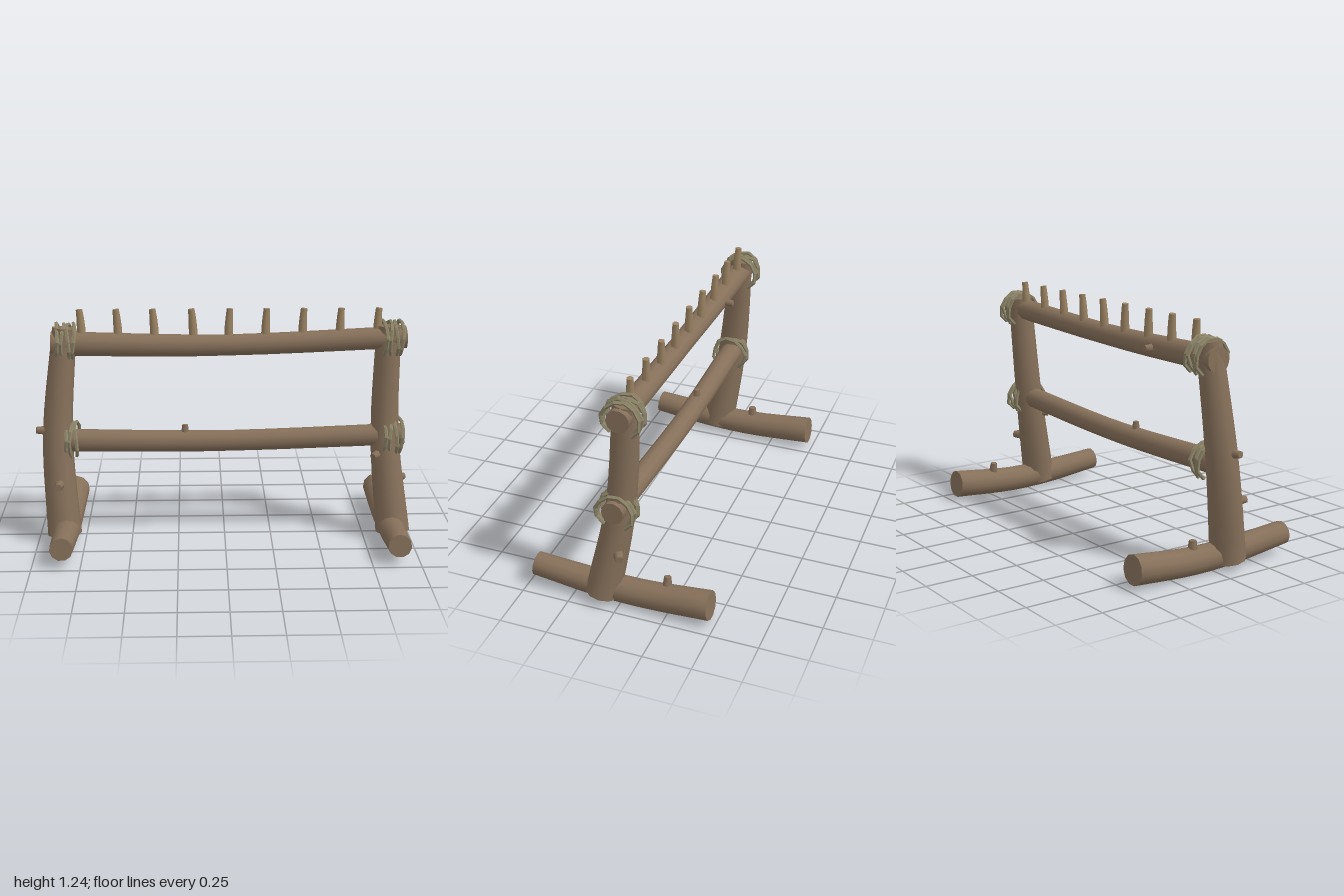
import * as THREE from 'three';
import { toCreasedNormals } from 'three/addons/utils/BufferGeometryUtils.js';

const wood = new THREE.MeshStandardMaterial({ color: 0x86705a });
const paleWood = new THREE.MeshStandardMaterial({ color: 0x9a8262 });
const rope = new THREE.MeshStandardMaterial({ color: 0x8c8468, flatShading: true, side: THREE.DoubleSide });

const V = (p) => new THREE.Vector3(...p);

// A capped round log swept along a curve; radii are spread evenly over its length
function log(name, points, radii, sides = 11, steps = 10, material = wood) {
  const curve = new THREE.CatmullRomCurve3(points.map(V));
  const geo = new THREE.CylinderGeometry(1, 1, 1, sides, steps);
  const pos = geo.attributes.position;
  const up = new THREE.Vector3(0, 1, 0);
  const q = new THREE.Quaternion();
  const v = new THREE.Vector3();
  for (let i = 0; i < pos.count; i++) {
    const t = THREE.MathUtils.clamp(pos.getY(i) + 0.5, 0, 1);
    const s = t * (radii.length - 1);
    const k = Math.min(Math.floor(s), radii.length - 2);
    const r = THREE.MathUtils.lerp(radii[k], radii[k + 1], s - k);
    q.setFromUnitVectors(up, curve.getTangentAt(t));
    v.set(pos.getX(i) * r, 0, pos.getZ(i) * r).applyQuaternion(q).add(curve.getPointAt(t));
    pos.setXYZ(i, v.x, v.y, v.z);
  }
  const mesh = new THREE.Mesh(toCreasedNormals(geo, 0.9), material);
  mesh.name = name;
  return mesh;
}

// Cut-off twig stub from inside a log to its tip
function stub(name, from, to, r) {
  const mid = V(from).lerp(V(to), 0.8).toArray();
  return log(name, [from, mid, to], [r * 1.1, r, r * 0.75], 7, 4);
}

// Open rope loops around a rail, hanging over both sides of the post
function lashing(name, x0, x1, y, z, count) {
  const group = new THREE.Group();
  group.name = name;
  for (let i = 0; i < count; i++) {
    const x = THREE.MathUtils.lerp(x0, x1, i / (count - 1));
    const pts = [];
    for (let j = 0; j <= 8; j++) {
      const a = THREE.MathUtils.degToRad(-52 + 35.5 * j + 5 * Math.sin(i * 2.1));
      const r = 0.096 + 0.005 * Math.sin(i * 1.7 + j * 2.3);
      const wobble = 0.007 * Math.sin(j * 1.3 + i * 2.4);
      pts.push(new THREE.Vector3(x + wobble, y + r * Math.sin(a), z - r * Math.cos(a)));
    }
    const curve = new THREE.CatmullRomCurve3(pts);
    const loop = new THREE.Mesh(new THREE.TubeGeometry(curve, 9, 0.01, 5), rope);
    loop.name = 'ropeLoop';
    group.add(loop);
  }
  return group;
}

export function createModel() {
  const model = new THREE.Group();
  model.name = 'logRack';

  // Curved feet, front to back
  for (const [name, x] of [['rightFoot', -0.845], ['leftFoot', 0.888]]) {
    model.add(log(name,
      [[x, 0.11, 0.468], [x, 0.08, 0.13], [x, 0.075, -0.12], [x + 0.003, 0.102, -0.468]],
      [0.061, 0.069, 0.071, 0.076]));
  }

  // Leaning posts
  model.add(log('rightPost',
    [[-0.86, 0.05, 0.1], [-0.885, 0.57, 0.028], [-0.835, 1.15, -0.025]], [0.092, 0.08, 0.064]));
  model.add(log('leftPost',
    [[0.905, 0.05, 0.097], [0.857, 0.57, 0.008], [0.865, 1.15, -0.037]], [0.092, 0.075, 0.066]));

  // Sagging rails
  model.add(log('topRail',
    [[-0.905, 1.068, -0.02], [-0.05, 1.055, -0.013], [0.955, 1.09, -0.028]], [0.065, 0.056, 0.059]));
  model.add(log('middleRail',
    [[-0.87, 0.55, 0.02], [-0.05, 0.537, 0.008], [0.955, 0.57, 0.013]], [0.061, 0.056, 0.058]));

  // Row of pegs on the top rail
  [-0.75, -0.56, -0.37, -0.167, 0.025, 0.218, 0.412, 0.608, 0.805].forEach((x, i) => {
    const lean = i < 4 ? -0.006 : 0.004;
    model.add(log('peg' + (i + 1),
      [[x - lean, 1.06, -0.028], [x, 1.19, -0.033], [x + lean, 1.245, -0.035]],
      [0.024, 0.022, 0.017], 8, 4, paleWood));
  });

  // Rope lashings at the four joints
  model.add(lashing('topRightLashing', -0.872, -0.785, 1.073, -0.03, 4));
  model.add(lashing('topLeftLashing', 0.84, 0.925, 1.08, -0.03, 4));
  model.add(lashing('middleRightLashing', -0.84, -0.785, 0.553, 0.015, 3));
  model.add(lashing('middleLeftLashing', 0.845, 0.935, 0.557, 0.013, 4));

  // Twig stubs
  model.add(stub('rightPostSideStub', [-0.9, 0.61, 0.035], [-0.995, 0.617, 0.052], 0.024));
  model.add(stub('rightPostFrontStub', [-0.872, 0.34, 0.08], [-0.875, 0.342, 0.192], 0.026));
  model.add(stub('leftPostInnerStub', [0.86, 0.485, 0.03], [0.785, 0.467, 0.095], 0.026));
  model.add(stub('leftPostOuterStub', [0.89, 0.32, 0.02], [0.972, 0.317, -0.025], 0.027));
  model.add(stub('leftFootStub', [0.878, 0.1, -0.235], [0.863, 0.195, -0.233], 0.024));
  model.add(stub('rightFootStub', [-0.85, 0.1, -0.115], [-0.85, 0.182, -0.115], 0.026));
  model.add(stub('middleRailStub', [-0.21, 0.56, 0.01], [-0.21, 0.628, 0.008], 0.02));
  model.add(stub('topRailBackStub', [-0.445, 1.06, -0.03], [-0.445, 1.062, -0.112], 0.021));

  return model;
}
